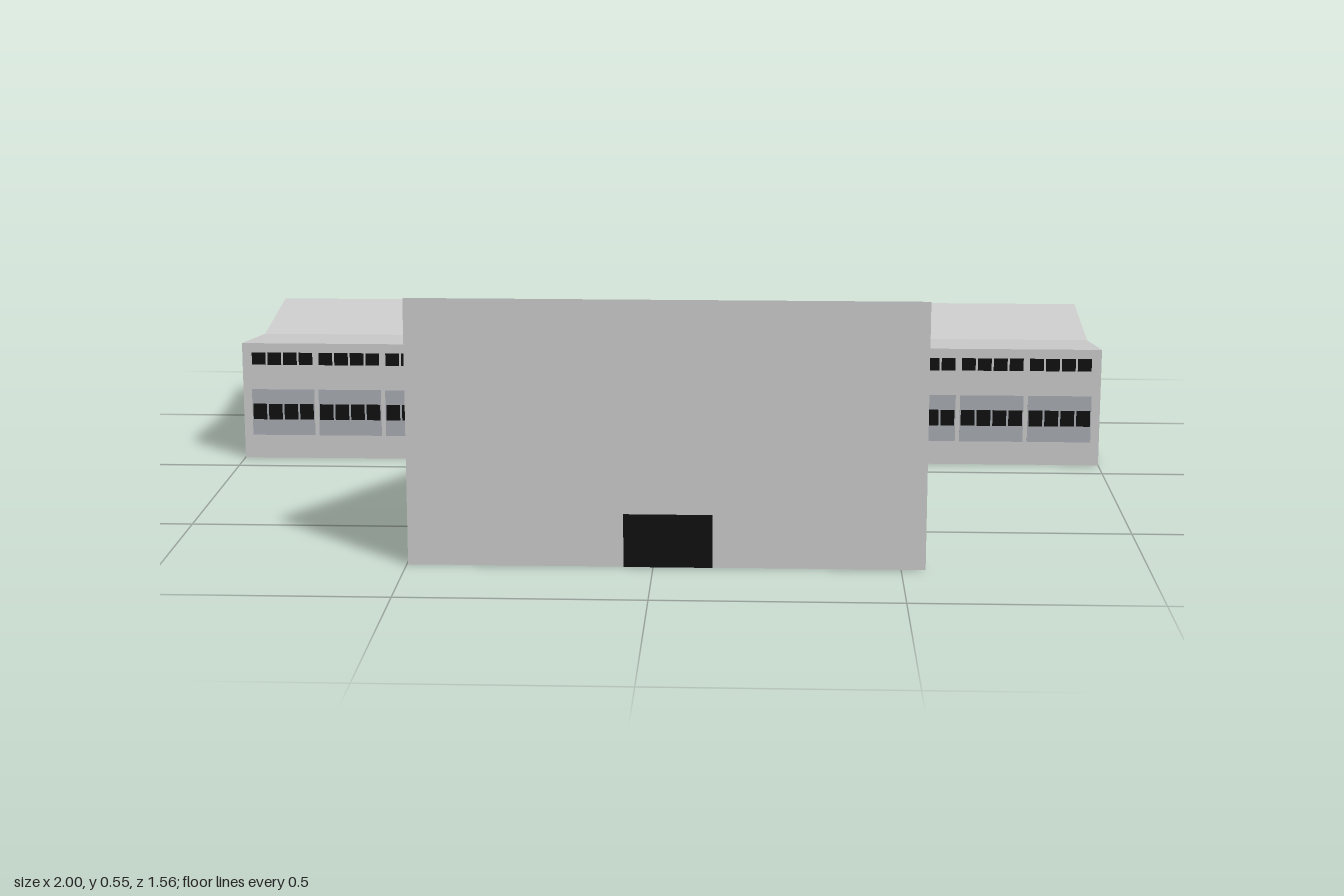
import * as THREE from 'three';

const grey = new THREE.MeshStandardMaterial({ color: 0xcccccc });
const panelGrey = new THREE.MeshStandardMaterial({ color: 0xa8adb3 });
const black = new THREE.MeshStandardMaterial({ color: 0x101010 });

// Box given by its limits
function box(parent, name, x0, x1, y0, y1, z0, z1, material = grey) {
  const mesh = new THREE.Mesh(new THREE.BoxGeometry(x1 - x0, y1 - y0, z1 - z0), material);
  mesh.position.set((x0 + x1) / 2, (y0 + y1) / 2, (z0 + z1) / 2);
  mesh.name = name;
  parent.add(mesh);
  return mesh;
}

// Side profile of [z, y] points stretched between two x limits that vary with z
function prism(parent, name, profile, leftX, rightX) {
  const shape = new THREE.Shape(profile.map(([z, y]) => new THREE.Vector2(-z, y)));
  const geometry = new THREE.ExtrudeGeometry(shape, { depth: 1, bevelEnabled: false });
  const p = geometry.attributes.position;
  for (let i = 0; i < p.count; i++) {
    const z = -p.getX(i);
    p.setXYZ(i, THREE.MathUtils.lerp(leftX(z), rightX(z), p.getZ(i)), p.getY(i), z);
  }
  geometry.computeVertexNormals();
  const mesh = new THREE.Mesh(geometry, grey);
  mesh.name = name;
  parent.add(mesh);
}

// Row of equal panes with thin gaps, on a wall facing local +z
function paneRow(parent, name, x0, x1, y0, y1, z, count, gap) {
  const pitch = (x1 - x0) / count;
  for (let i = 0; i < count; i++) {
    const a = x0 + i * pitch;
    box(parent, name, a + gap / 2, a + pitch - gap / 2, y0, y1, z - 0.002, z + 0.002, black);
  }
}

// Two storeys of windows on a long wall, leaving the middle free
function facade(name, z, clear) {
  const g = new THREE.Group();
  g.name = name;
  for (const side of [-1, 1]) {
    for (let i = 0; i < 5; i++) {
      const outer = 0.98 - i * 0.157;
      const inner = Math.max(outer - 0.147, clear);
      const [a, b] = side < 0 ? [-outer, -inner] : [inner, outer];
      const count = Math.max(1, Math.round((b - a) / 0.0367));
      box(g, 'windowPanel', a, b, 0.055, 0.165, z - 0.002, z + 0.001, panelGrey);
      paneRow(g, 'lowerPane', a, b, 0.093, 0.13, z + 0.001, count, 0.005);
      paneRow(g, 'upperPane', a, b, 0.224, 0.253, z, count, 0.005);
    }
  }
  return g;
}

export function createModel() {
  const model = new THREE.Group();
  model.name = 'building';

  // Long wing with a butterfly roof; its back wall is set in behind a thin frame
  const back = -0.632, wall = -0.618, front = -0.077;
  const roofY = (z) => 0.24 + 0.035 * (z + 0.355) / (back + 0.355);
  prism(model, 'wing', [[front, 0], [front, 0.275], [-0.355, 0.24], [wall, roofY(wall)], [wall, 0]],
    () => -1, () => 1);
  for (const s of [-1, 1]) {
    prism(model, 'endFin', [[wall, 0], [wall, roofY(wall)], [back, 0.275], [back, 0]],
      () => s * 0.99 - 0.01, () => s * 0.99 + 0.01);
  }
  prism(model, 'backEave', [[wall, 0.262], [wall, roofY(wall)], [back, 0.275], [back, 0.262]],
    () => -0.98, () => 0.98);

  // Hall, widening and rising towards the front
  const t = (z) => (z - front) / (0.78 - front);
  const leftX = (z) => -0.255 - 0.243 * t(z);
  const rightX = (z) => 0.255 + 0.295 * t(z);
  prism(model, 'hall', [[front, 0], [0.778, 0], [0.778, 0.55], [front, 0.275]], leftX, rightX);
  box(model, 'frontDoor', -0.06, 0.12, 0, 0.11, 0.77, 0.78, black);

  // Gridded windows on both slanting hall walls
  for (const [s, edge] of [[-1, leftX], [1, rightX]]) {
    const z0 = 0.22, z1 = 0.632;
    const dx = edge(z1) - edge(z0);
    const half = Math.hypot(dx, z1 - z0) / 2;
    const g = new THREE.Group();
    g.name = 'hallWindow';
    box(g, 'windowFrame', -half, half, 0.057, 0.242, -0.003, 0.004);
    for (let r = 0; r < 3; r++) {
      const y = 0.063 + r * 0.06;
      paneRow(g, 'hallPane', -half + 0.003, half - 0.003, y, y + 0.053, 0.004, 10, 0.006);
    }
    g.position.set((edge(z0) + edge(z1)) / 2, 0, (z0 + z1) / 2);
    g.rotation.y = Math.atan2(s * (z1 - z0), -s * dx);
    model.add(g);
  }

  // Windows along the wing, front and back
  model.add(facade('frontWindows', front, 0.262));
  const rear = facade('backWindows', -wall, 0.29);
  // Glazed entrance in the middle of the back wall
  paneRow(rear, 'entranceDoor', -0.28, 0.28, 0.003, 0.11, -wall, 10, 0.006);
  paneRow(rear, 'entrancePane', -0.28, 0.28, 0.135, 0.2, -wall, 10, 0.006);
  paneRow(rear, 'upperPane', -0.28, 0.28, 0.224, 0.253, -wall, 15, 0.005);
  rear.rotation.y = Math.PI;
  model.add(rear);

  // Sloping canopy on two posts
  const canopyX = (z) => 0.28 - 0.06 * (back - z) / 0.146;
  prism(model, 'canopy', [[wall, 0.252], [-0.778, 0.183], [-0.775, 0.17], [wall, 0.236]],
    (z) => -canopyX(z), canopyX);
  for (const s of [-1, 1]) {
    box(model, 'canopyPost', s * 0.21 - 0.008, s * 0.21 + 0.008, 0, 0.21, -0.704, -0.688);
  }
  return model;
}
